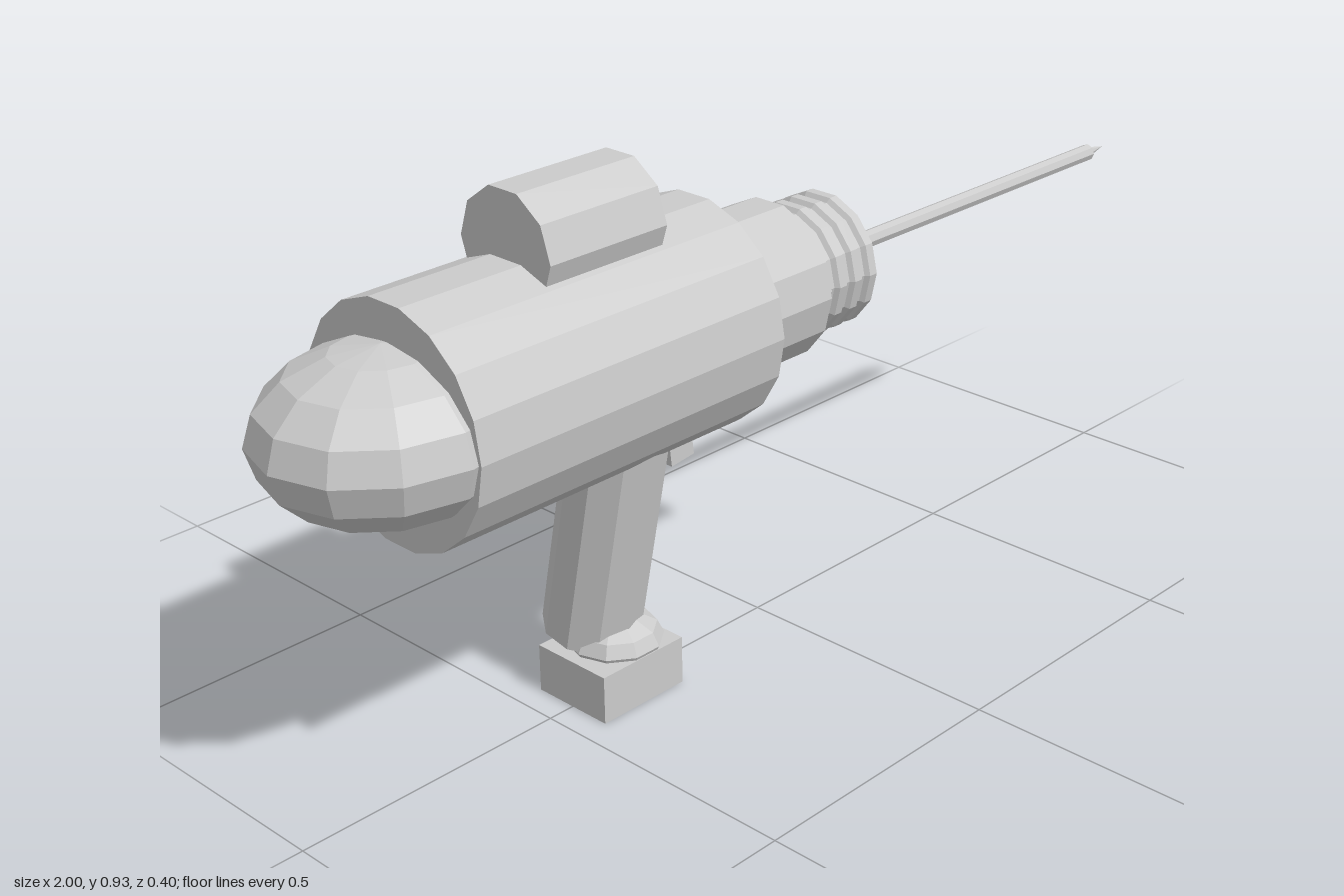
import * as THREE from 'three';

export function createModel() {
  const model = new THREE.Group();
  const material = new THREE.MeshStandardMaterial({ color: 0xcccccc, flatShading: true });
  const axisY = 0.625; // height of the barrel axis

  function add(name, geometry, x, y, z) {
    const mesh = new THREE.Mesh(geometry, material);
    mesh.name = name;
    mesh.position.set(x, y, z);
    model.add(mesh);
    return mesh;
  }

  // Cylinder lying along x from x0 to x1; r0 and r1 are the end radii
  function addAlongX(name, x0, x1, r0, r1, sides, y = axisY) {
    const geometry = new THREE.CylinderGeometry(r1, r0, x1 - x0, sides).rotateZ(-Math.PI / 2);
    return add(name, geometry, (x0 + x1) / 2, y, 0);
  }

  // Main housing, front collar and top pod
  addAlongX('body', -0.78, -0.15, 0.198, 0.198, 18);
  addAlongX('collar', -0.15, 0.03, 0.14, 0.14, 14);
  addAlongX('topPod', -0.55, -0.31, 0.1, 0.1, 10, 0.835);

  // Rounded rear cap, flattened in height
  add('rearCap', new THREE.SphereGeometry(1, 12, 8).scale(0.21, 0.135, 0.195), -0.79, axisY, 0);

  // Ribbed chuck: four ribs parted by shallow grooves
  const profile = [[0, 0.03]];
  for (let i = 0; i < 4; i++) {
    const x = 0.03 + i * 0.0385;
    profile.push([0.112, x], [0.12, x + 0.006], [0.12, x + 0.023], [0.112, x + 0.0295]);
  }
  profile.push([0, 0.175]);
  const chuck = new THREE.LatheGeometry(profile.map(p => new THREE.Vector2(...p)), 14);
  add('chuck', chuck.rotateZ(-Math.PI / 2), 0, axisY, 0);

  // Long bit with a pointed tip
  addAlongX('bit', 0.17, 0.95, 0.016, 0.016, 8);
  addAlongX('bitTip', 0.95, 1, 0.01, 0, 8);

  // Leaning grip
  const grip = add('grip', new THREE.CylinderGeometry(0.084, 0.084, 0.46, 10), -0.361, 0.328, 0.001);
  grip.rotation.x = 0.2;

  // Trigger under the housing
  const trigger = add('trigger', new THREE.BoxGeometry(0.052, 0.08, 0.086), -0.231, 0.428, 0);
  trigger.rotation.z = 0.12;

  // Foot block and the rounded joint above it
  add('footJoint', new THREE.SphereGeometry(1, 10, 6).scale(0.083, 0.046, 0.083), -0.35, 0.092, 0);
  add('foot', new THREE.BoxGeometry(0.18, 0.086, 0.156), -0.36, 0.043, 0);

  return model;
}
